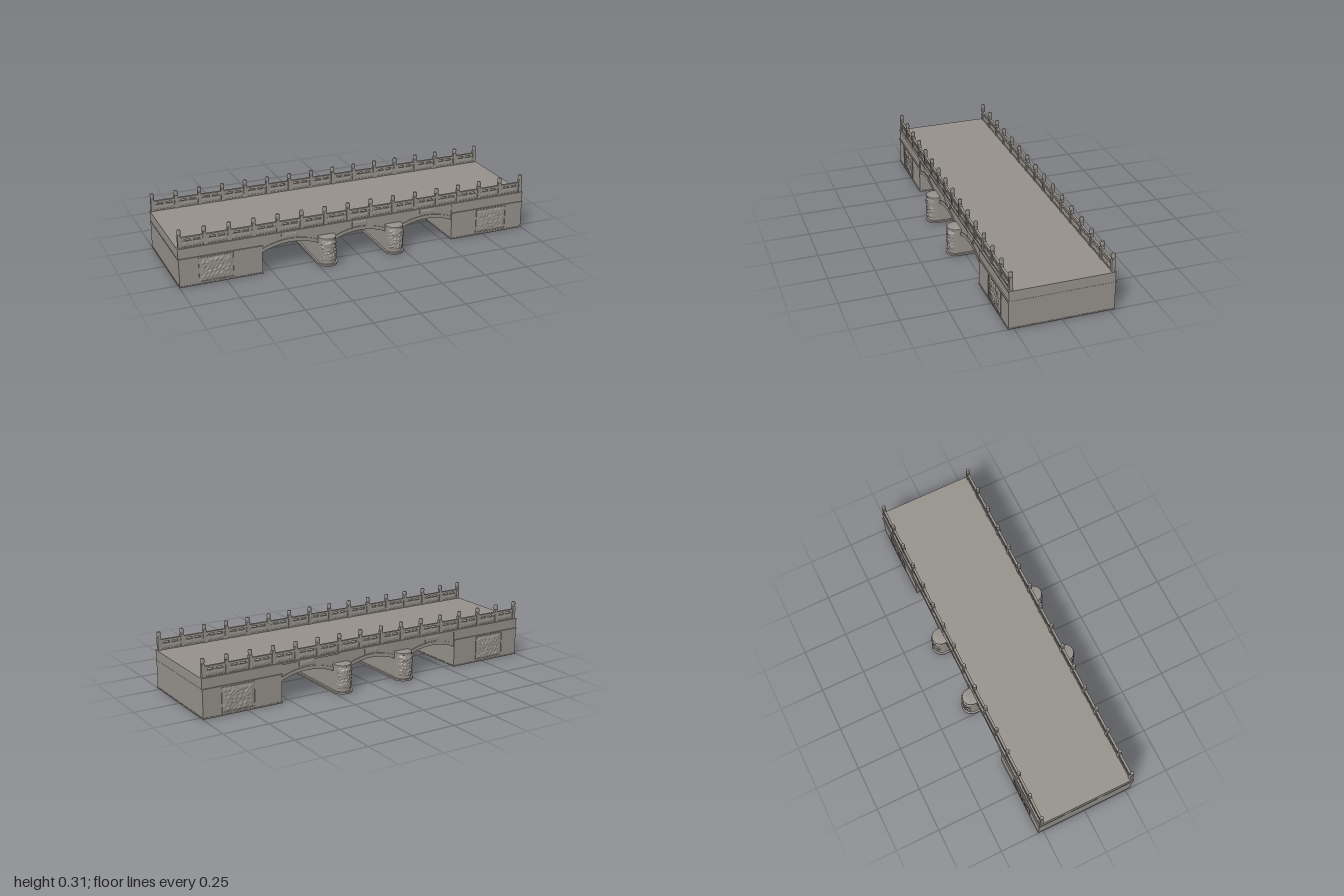
import * as THREE from 'three';
import { toCreasedNormals } from 'three/addons/utils/BufferGeometryUtils.js';

const stone = new THREE.MeshStandardMaterial({ color: 0x95908a });
stone.name = 'stone';

const SPRING = 0.118, CROWN = 0.15;            // arch heights
const SPANS = [[-0.55, -0.242], [-0.148, 0.148], [0.242, 0.55]];

function add(parent, name, geometry, x = 0, y = 0, z = 0) {
  const mesh = new THREE.Mesh(geometry, stone);
  mesh.name = name;
  mesh.position.set(x, y, z);
  parent.add(mesh);
  return mesh;
}

// box given by its bottom height and top height
function block(parent, name, w, y0, y1, d, x = 0, z = 0) {
  return add(parent, name, new THREE.BoxGeometry(w, y1 - y0, d), x, (y0 + y1) / 2, z);
}

function extrude(shape, depth, bevel = 0) {
  const g = new THREE.ExtrudeGeometry(shape, {
    depth: depth - 2 * bevel, curveSegments: 20, bevelEnabled: bevel > 0,
    bevelSize: bevel, bevelThickness: bevel, bevelOffset: -bevel, bevelSegments: 2,
  });
  g.translate(0, 0, bevel);
  return toCreasedNormals(g, 0.6);
}

// points of a shallow arch from x0 to x1, raised by lift
function archPoints(x0, x1, lift = 0) {
  const pts = [];
  for (let i = 0; i <= 24; i++) {
    const t = i / 24, s = 2 * t - 1;
    pts.push(new THREE.Vector2(x0 + (x1 - x0) * t, CROWN - (CROWN - SPRING) * s * s + lift));
  }
  return pts;
}

// carved height field from 0 to 1, fading out at the rim
function carving(u, v, seed) {
  const a = Math.sin(u * 23 + 3 * Math.sin(v * 11 + seed)) * Math.cos(v * 19 + 2 * Math.sin(u * 13 - seed));
  const b = Math.sin(u * 41 + v * 17 + seed) * Math.sin(v * 37 - u * 9);
  const rim = Math.min(1, 10 * Math.min(u, 1 - u, v, 1 - v));
  return rim * THREE.MathUtils.clamp(0.5 + 0.45 * a + 0.25 * b, 0, 1);
}

// plane whose vertices are moved by place(u, v, height)
function relief(nu, nv, seed, place) {
  const g = new THREE.PlaneGeometry(1, 1, nu, nv), p = g.attributes.position;
  for (let i = 0; i < p.count; i++) {
    const u = p.getX(i) + 0.5, v = p.getY(i) + 0.5;
    p.setXYZ(i, ...place(u, v, carving(u, v, seed)));
  }
  g.computeVertexNormals();
  return g;
}

function flatRelief(w, h, depth, seed) {
  return relief(Math.round(w * 200), Math.round(h * 200), seed,
    (u, v, k) => [(u - 0.5) * w, (v - 0.5) * h, k * depth]);
}

// plan of a pier: straight sides with round noses
function pierPlan(r, straight) {
  const s = new THREE.Shape();
  s.absarc(0, straight, r, 0, Math.PI);
  s.absarc(0, -straight, r, Math.PI, 2 * Math.PI);
  s.closePath();
  return s;
}

function pier(x) {
  const g = new THREE.Group();
  g.name = 'pier';
  g.position.x = x;
  const slab = (name, r, y0, y1, bevel) => {
    const geo = extrude(pierPlan(r, 0.289), y1 - y0, bevel);
    geo.rotateX(-Math.PI / 2);
    add(g, name, geo, 0, y0, 0);
  };
  slab('pierBase', 0.055, 0, 0.011, 0.002);
  slab('pierBody', 0.045, 0.01, 0.15, 0);
  slab('pierCap', 0.048, 0.145, 0.157, 0.004);
  // carved panels wrapped round both noses
  for (const side of [0, Math.PI]) {
    const geo = relief(24, 30, x * 9 + side, (u, v, k) => {
      const a = (u - 0.5) * 2.5, r = 0.045 + 0.009 * k;
      return [r * Math.sin(a), 0.025 + 0.118 * v, 0.289 + r * Math.cos(a)];
    });
    add(g, 'pierCarving', geo).rotation.y = side;
  }
  return g;
}

function abutment(side) {
  const g = new THREE.Group();
  g.name = 'abutment';
  const x = side * 0.775;
  block(g, 'abutmentBase', 0.45, 0, 0.006, 0.562, x);
  block(g, 'abutmentBody', 0.446, 0.004, 0.153, 0.556, x);
  block(g, 'abutmentLedge', 0.45, 0.15, 0.157, 0.564, x);
  block(g, 'abutmentUpperWall', 0.448, 0.155, 0.206, 0.552, x);
  return g;
}

// railing, carvings and arch rings of one face, built facing +z
function sideFace(seed) {
  const g = new THREE.Group();
  g.name = 'sideFace';
  const count = 16, gap = 1.97 / (count - 1), z = 0.263;

  for (let i = 0; i < count; i++) {
    const x = -0.985 + i * gap;
    const post = new THREE.Group();
    post.name = 'railingPost';
    post.position.set(x, 0, z);
    block(post, 'postShaft', 0.018, 0.21, 0.284, 0.018);
    block(post, 'postNeck', 0.014, 0.283, 0.289, 0.014);
    const head = [[0, 0.287], [0.01, 0.287], [0.011, 0.291], [0.011, 0.306], [0.009, 0.312], [0, 0.313]]
      .map(([r, y]) => new THREE.Vector2(r, y));
    add(post, 'postHead', toCreasedNormals(new THREE.LatheGeometry(head, 12), 0.6));
    g.add(post);
    if (i === count - 1) continue;

    // railing bay: panel, small supports and hand rail
    const cx = x + gap / 2, w = gap - 0.016;
    block(g, 'railingPanel', w, 0.211, 0.246, 0.008, cx, z);
    block(g, 'panelTopMoulding', w, 0.243, 0.248, 0.012, cx, z);
    block(g, 'panelFootMoulding', w, 0.211, 0.218, 0.012, cx, z);
    block(g, 'handRail', w, 0.258, 0.27, 0.013, cx, z);
    for (const k of [-0.42, 0, 0.42]) block(g, 'railSupport', 0.018, 0.247, 0.259, 0.009, cx + k * w, z);
    for (const s of [1, -1]) {
      const panel = add(g, 'panelCarving', flatRelief(w * 0.9, 0.022, 0.003, i + seed), cx, 0.2305, z + s * 0.0042);
      if (s < 0) panel.rotation.y = Math.PI;
    }
  }

  // raised arch rings
  for (const [x0, x1] of SPANS) {
    const ring = new THREE.Shape([...archPoints(x0, x1), ...archPoints(x0, x1, 0.02).reverse()]);
    add(g, 'archRing', extrude(ring, 0.006), 0, 0, 0.27);
  }

  // carved plates above the crowns
  for (const x of [-0.4, 0, 0.4]) {
    block(g, 'crownPlate', 0.09, 0.172, 0.204, 0.006, x, 0.273);
    add(g, 'crownCarving', flatRelief(0.086, 0.028, 0.004, x * 5 + seed), x, 0.188, 0.2765);
  }

  // framed carvings on the abutments
  for (const x of [-0.8, 0.8]) {
    for (const s of [-1, 1]) {
      block(g, 'carvingFrameSide', 0.005, 0.014, 0.146, 0.006, x + s * 0.092, 0.279);
      block(g, 'carvingFrameRail', 0.189, 0.08 + s * 0.066 - 0.0025, 0.08 + s * 0.066 + 0.0025, 0.006, x, 0.279);
    }
    add(g, 'abutmentCarving', flatRelief(0.18, 0.128, 0.007, x * 3 + seed), x, 0.08, 0.2785);
  }
  return g;
}

export function createModel() {
  const bridge = new THREE.Group();
  bridge.name = 'stoneBridge';

  // arched middle part
  const profile = new THREE.Shape([
    new THREE.Vector2(0.56, 0.206), new THREE.Vector2(-0.56, 0.206), new THREE.Vector2(-0.56, SPRING),
    ...SPANS.flatMap(([a, b]) => archPoints(a, b)), new THREE.Vector2(0.56, SPRING),
  ]);
  add(bridge, 'archedSpan', extrude(profile, 0.544), 0, 0, -0.272);

  // deck slab with a projecting edge
  block(bridge, 'deck', 2, 0.204, 0.213, 0.556);

  for (const side of [-1, 1]) {
    bridge.add(abutment(side));
    bridge.add(pier(side * 0.195));
  }

  const front = sideFace(1);
  const back = sideFace(4);
  back.rotation.y = Math.PI;
  bridge.add(front, back);
  return bridge;
}
